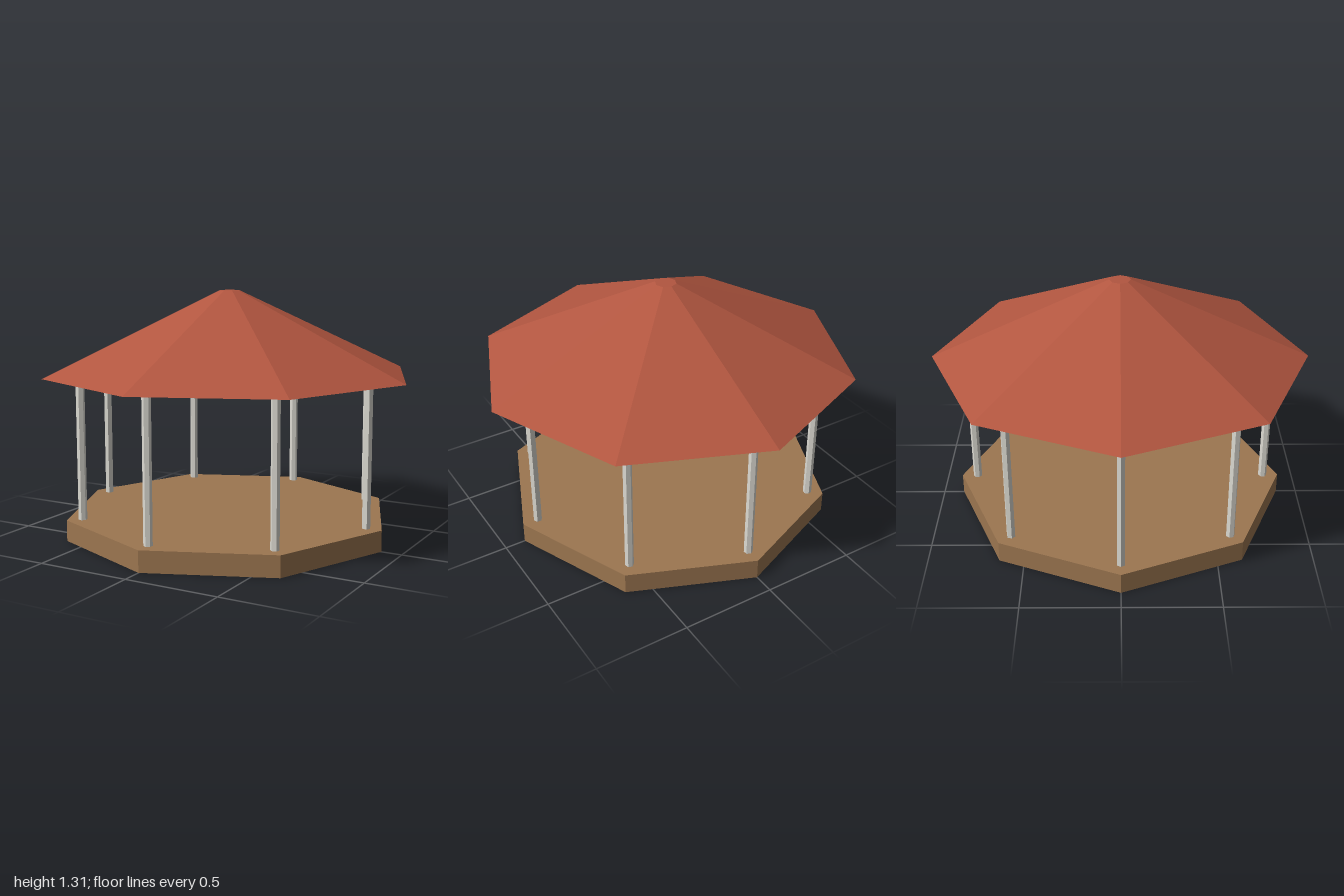
import * as THREE from 'three';

const flat = (name, color) => {
  const m = new THREE.MeshStandardMaterial({ color, flatShading: true });
  m.name = name;
  return m;
};

export function createModel() {
  const wood = flat('wood brown', 0x9c7650);
  const tile = flat('roof red', 0xb25640);
  const paint = flat('pale grey', 0xdcdad2);
  const group = new THREE.Group();
  group.name = 'pavilion';

  // Upright prism between two heights, with a corner towards the front
  const prism = (name, material, sides, bottomRadius, topRadius, y0, y1) => {
    const geometry = new THREE.CylinderGeometry(topRadius, bottomRadius, y1 - y0, sides);
    geometry.translate(0, (y0 + y1) / 2, 0);
    const mesh = new THREE.Mesh(geometry, material);
    mesh.name = name;
    group.add(mesh);
    return mesh;
  };

  // Octagonal floor, flat-topped roof and the ceiling plate just under it
  prism('floor', wood, 8, 0.89, 0.89, 0, 0.112);
  prism('roof', tile, 8, 1, 0.056, 0.867, 1.307);
  prism('ceiling', paint, 8, 0.92, 0.92, 0.862, 0.869);

  // Eight hexagonal posts, each turned to its own corner
  for (let i = 0; i < 8; i++) {
    const angle = (i * Math.PI) / 4;
    const post = prism('post', paint, 6, 0.023, 0.023, 0.112, 0.864);
    post.position.set(Math.sin(angle) * 0.804, 0, Math.cos(angle) * 0.804);
    post.rotation.y = angle;
  }
  return group;
}
